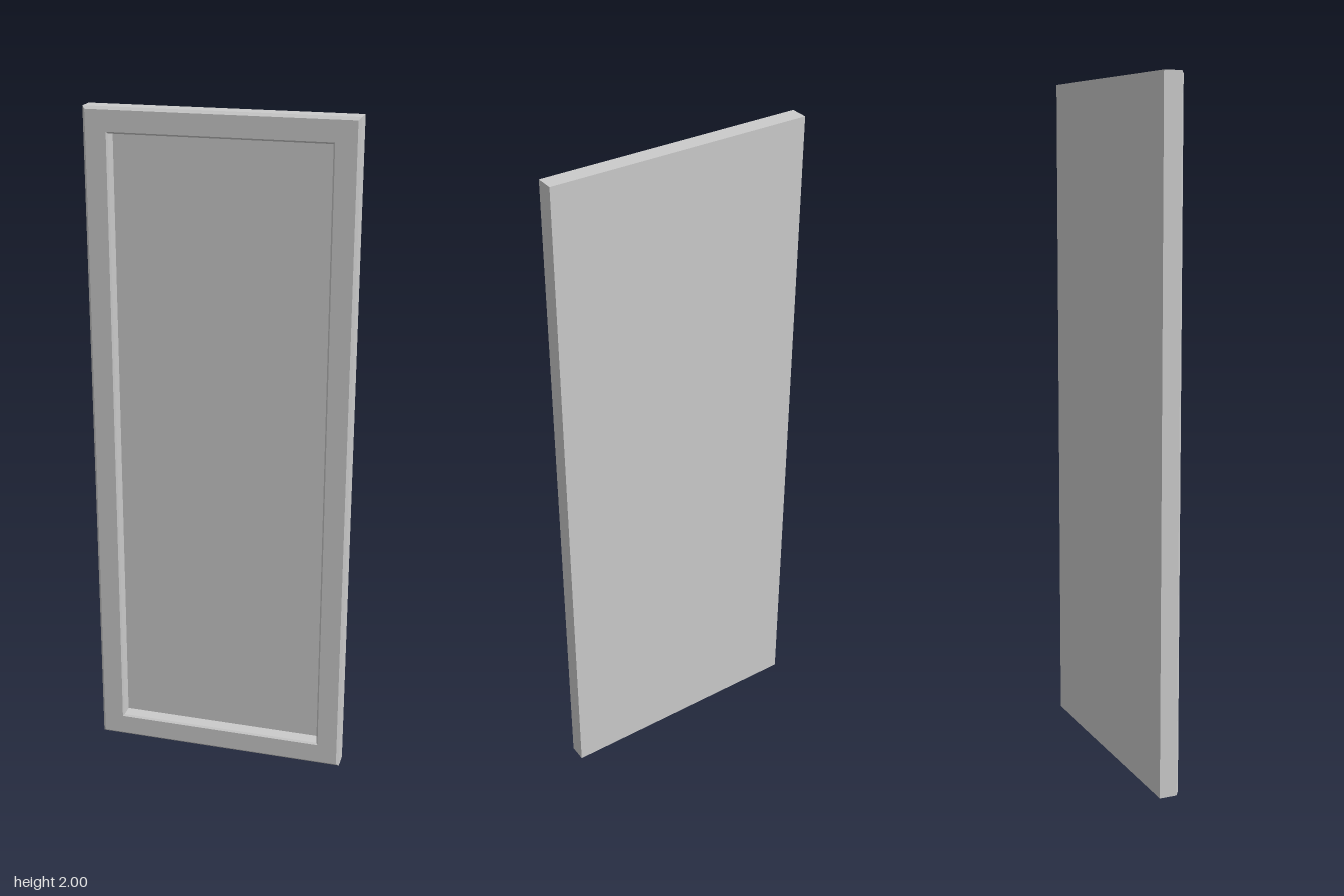
import * as THREE from 'three';

const W = 0.388, H = 1, D = 0.03;  // half sizes of the door
const BEVEL = 0.008;               // chamfer on the outer front edges
const FRAME = 0.068;               // frame width up to the opening
const LIP = 0.005;                 // chamfer around the opening
const PANEL_Z = -0.013;            // face of the recessed panel

// Rectangle inset from the outline, counter-clockwise seen from the front
const ring = (inset, z) => [[-1, -1], [1, -1], [1, 1], [-1, 1]]
  .map(([sx, sy]) => [sx * (W - inset), H + sy * (H - inset), z]);

// Flat-sided surface made of four-cornered faces
function facesMesh(name, quads, material) {
  const positions = quads.flatMap(([a, b, c, d]) => [a, b, c, a, c, d]).flat();
  const geometry = new THREE.BufferGeometry();
  geometry.setAttribute('position', new THREE.Float32BufferAttribute(positions, 3));
  geometry.computeVertexNormals();
  const mesh = new THREE.Mesh(geometry, material);
  mesh.name = name;
  return mesh;
}

// Four faces joining one rectangle to the next
const band = (a, b) => a.map((p, i) => {
  const j = (i + 1) % 4;
  return [p, a[j], b[j], b[i]];
});

export function createModel() {
  const door = new THREE.Group();
  door.name = 'cabinetDoor';
  const material = new THREE.MeshStandardMaterial({ color: 0xcccccc, flatShading: true });

  // Frame cross-section: outer side, chamfer, face, lip, opening wall
  const profile = [
    [0, -D], [0, D - BEVEL], [BEVEL, D], [FRAME, D],
    [FRAME + LIP, D - LIP], [FRAME + LIP, PANEL_Z],
  ].map(([inset, z]) => ring(inset, z));
  const frameFaces = profile.slice(1).flatMap((r, i) => band(profile[i], r));
  door.add(facesMesh('frame', frameFaces, material));

  // Recessed panel filling the opening
  door.add(facesMesh('recessedPanel', [profile[profile.length - 1]], material));

  // Plain flat back
  door.add(facesMesh('back', [[...profile[0]].reverse()], material));
  return door;
}
